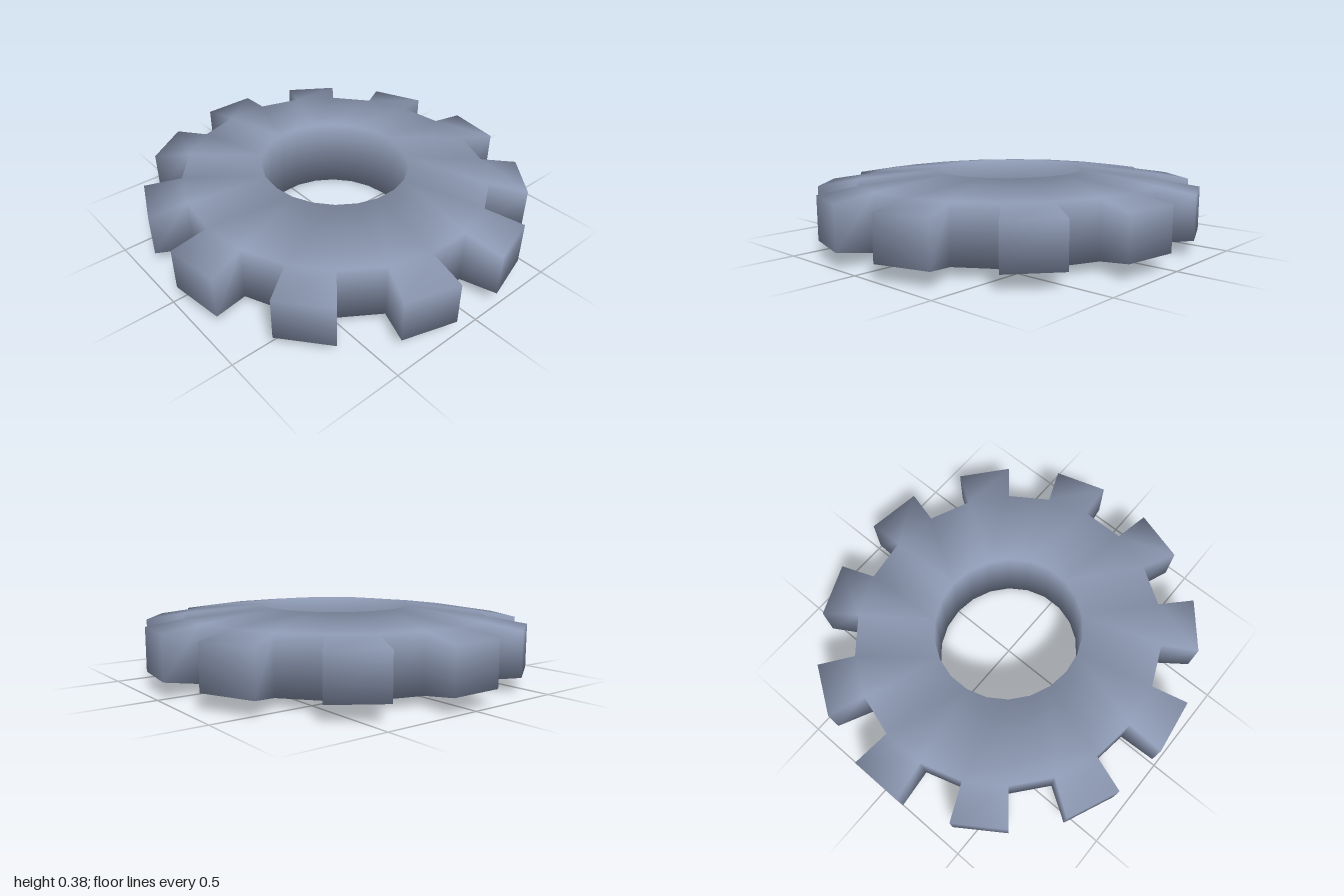
import * as THREE from 'three';

const TEETH = 11;
const STEPS = TEETH * 2; // tooth and gap sectors alternate
const X_SCALE = 0.96; // the gear is slightly narrower than deep

// Rings from hole to tooth tip: radius, bottom and top height
const RINGS = [
  { r: 0.389, y0: 0, y1: 0.375 }, // hole
  { r: 0.808, y0: 0.045, y1: 0.33 }, // tooth root
  { r: 1.0103, y0: 0.078, y1: 0.298 }, // tooth tip
];

function gearGeometry() {
  const positions = [];
  const indices = [];

  // Every ring carries a bottom and a top vertex per step
  for (const { r, y0, y1 } of RINGS) {
    for (let i = 0; i < STEPS; i++) {
      const a = ((i - 0.5) * 2 * Math.PI) / STEPS;
      const x = Math.sin(a) * r * X_SCALE;
      const z = -Math.cos(a) * r;
      positions.push(x, y0, z, x, y1, z);
    }
  }
  const bottom = (ring, i) => (ring * STEPS + (i % STEPS)) * 2;
  const top = (ring, i) => bottom(ring, i) + 1;
  const quad = (a, b, c, d) => indices.push(a, b, c, a, c, d);

  // Upper and lower face of one sector between two neighbouring rings
  const slab = (ring, i) => {
    quad(top(ring, i), top(ring, i + 1), top(ring + 1, i + 1), top(ring + 1, i));
    quad(bottom(ring, i), bottom(ring + 1, i), bottom(ring + 1, i + 1), bottom(ring, i + 1));
  };
  // Outward wall of one sector
  const wall = (ring, i) =>
    quad(bottom(ring, i + 1), bottom(ring, i), top(ring, i), top(ring, i + 1));

  for (let i = 0; i < STEPS; i++) {
    const j = i + 1;
    slab(0, i);
    // Hole wall, facing the axis
    quad(bottom(0, i), bottom(0, j), top(0, j), top(0, i));
    if (i % 2 === 0) {
      // Tooth: faces, tip and both flanks
      slab(1, i);
      wall(2, i);
      quad(bottom(2, i), bottom(1, i), top(1, i), top(2, i));
      quad(bottom(1, j), bottom(2, j), top(2, j), top(1, j));
    } else {
      // Gap floor
      wall(1, i);
    }
  }

  const geometry = new THREE.BufferGeometry();
  geometry.setAttribute('position', new THREE.Float32BufferAttribute(positions, 3));
  geometry.setIndex(indices);
  geometry.computeVertexNormals(); // shared vertices give soft shading
  return geometry;
}

export function createModel() {
  const group = new THREE.Group();
  group.name = 'gear';
  const steel = new THREE.MeshStandardMaterial({ color: 0x8c98b2 });
  steel.name = 'blue grey steel';
  const wheel = new THREE.Mesh(gearGeometry(), steel);
  wheel.name = 'toothedWheel';
  group.add(wheel);
  return group;
}
